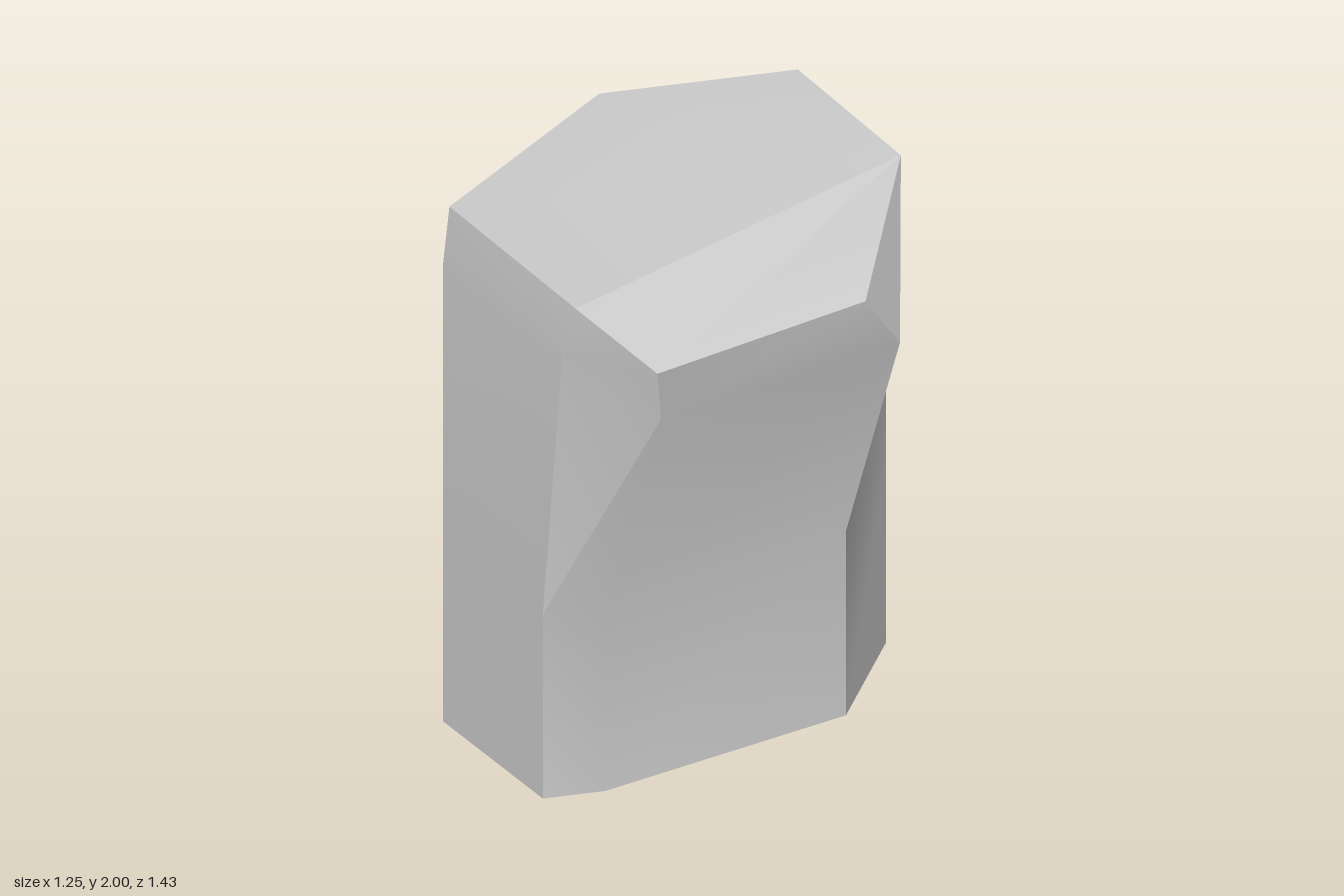
import * as THREE from 'three';
import { toCreasedNormals } from 'three/addons/utils/BufferGeometryUtils.js';

// Corners run counter-clockwise seen from above, starting at the -x corner.
// Straight foot of the pillar: [x, z]
const foot = [[-0.63, -0.07], [-0.41, 0.715], [0.125, 0.715], [0.21, 0.53],
  [0.33, -0.34], [0.08, -0.685], [-0.44, -0.72]];
// Shoulder below the bevel, leaning out towards +x: [x, y, z]
const shoulder = [[-0.63, 1.8, -0.07], [-0.41, 1.79, 0.715], [0.23, 1.79, 0.715], [0.51, 1.62, 0.53],
  [0.62, 1.62, -0.34], [0.08, 1.79, -0.685], [-0.44, 1.79, -0.72]];
// Bevelled rim of the top
const rim = [[-0.63, 2, -0.07], [-0.41, 2, 0.69], [0.28, 1.995, 0.70], [0.545, 1.835, 0.57],
  [0.617, 1.835, -0.205], [0.22, 2, -0.64], [-0.36, 2, -0.66]];

function rockGeometry() {
  const rings = [
    foot.map(([x, z]) => [x, 0, z]),
    foot.map(([x, z]) => [x, 0.72, z]),
    shoulder,
    rim,
  ];
  const n = foot.length;
  const positions = [];
  const tri = (a, b, c) => positions.push(...a, ...b, ...c);

  // Side walls
  for (let r = 0; r < rings.length - 1; r++) {
    const low = rings[r], high = rings[r + 1];
    for (let i = 0; i < n; i++) {
      const j = (i + 1) % n;
      tri(low[i], low[j], high[j]);
      tri(low[i], high[j], high[i]);
    }
  }
  // Flat base, and a top fanned from the back corner so it slopes down on the +x side
  for (let k = 1; k < n - 1; k++) {
    tri(rings[0][0], rings[0][k + 1], rings[0][k]);
    tri(rim[5], rim[(5 + k) % n], rim[(6 + k) % n]);
  }

  const geometry = new THREE.BufferGeometry();
  geometry.setAttribute('position', new THREE.Float32BufferAttribute(positions, 3));
  return toCreasedNormals(geometry, THREE.MathUtils.degToRad(30));
}

export function createModel() {
  const group = new THREE.Group();
  group.name = 'rockPillar';
  const rock = new THREE.Mesh(rockGeometry(), new THREE.MeshStandardMaterial({ color: 0xcccccc }));
  rock.name = 'rock';
  group.add(rock);
  return group;
}
